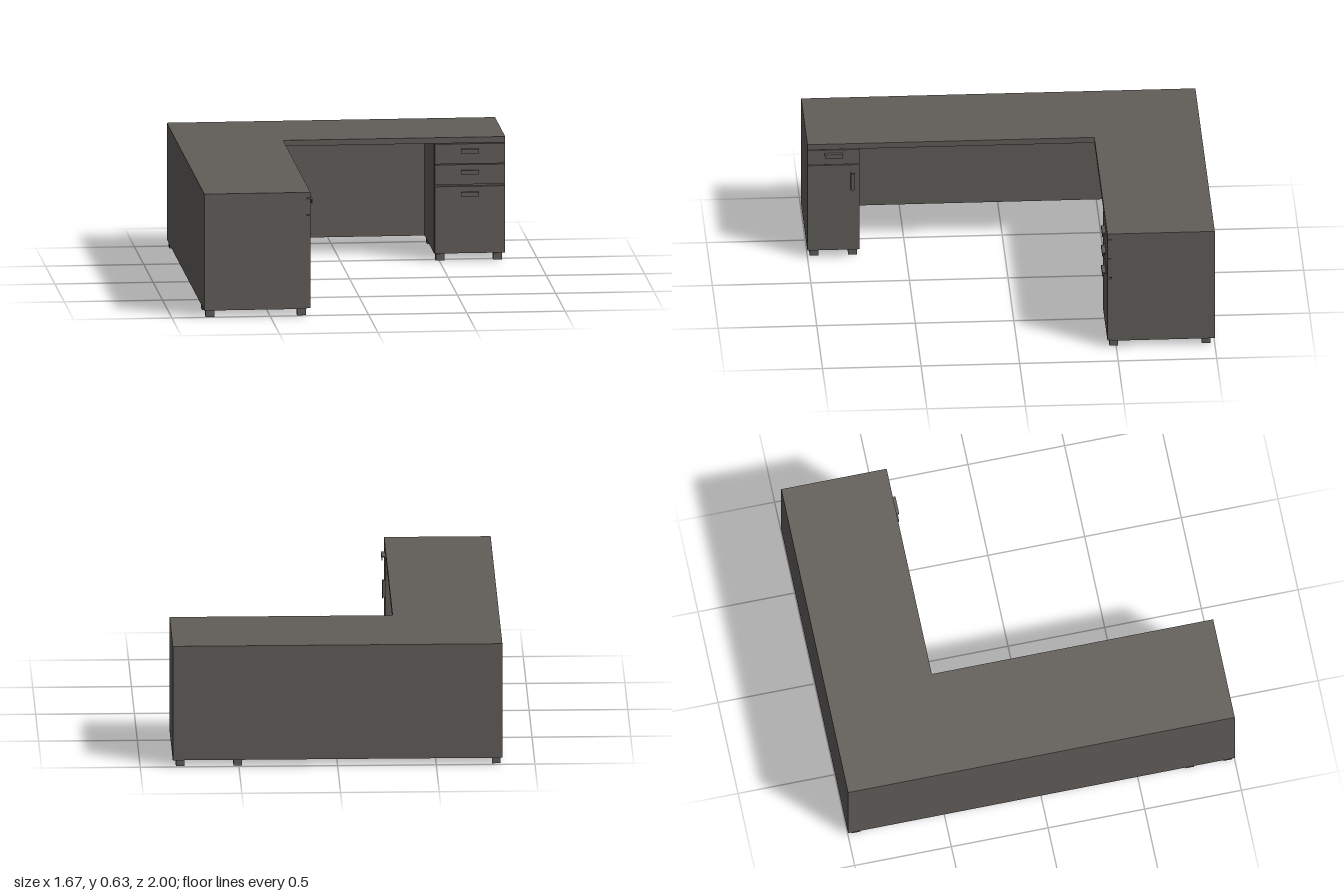
import * as THREE from 'three';

export function createModel() {
  const desk = new THREE.Group();
  desk.name = 'cornerDesk';
  const laminate = new THREE.MeshStandardMaterial({ color: 0x615d59 });
  laminate.name = 'greyLaminate';

  // Box given by its limits on each axis
  const box = (name, [x0, x1], [y0, y1], [z0, z1], parent = desk) => {
    const mesh = new THREE.Mesh(new THREE.BoxGeometry(x1 - x0, y1 - y0, z1 - z0), laminate);
    mesh.position.set((x0 + x1) / 2, (y0 + y1) / 2, (z0 + z1) / 2);
    mesh.name = name;
    parent.add(mesh);
    return mesh;
  };

  const W = 0.835, D = 1, T = 0.02;        // half width, half depth, panel thickness
  const IX = -0.295, IZ = -0.455;          // inner edges of the two wings
  const BASE = 0.035, UNDER = 0.605, TOP = 0.635;
  const body = [BASE, UNDER];

  // L-shaped worktop
  const outline = new THREE.Shape([
    [-W, D], [W, D], [W, -IZ], [IX, -IZ], [IX, -D], [-W, -D],
  ].map(([x, y]) => new THREE.Vector2(x, y)));
  const top = new THREE.Mesh(
    new THREE.ExtrudeGeometry(outline, { depth: TOP - UNDER, bevelEnabled: false }), laminate);
  top.rotation.x = -Math.PI / 2;
  top.position.y = UNDER;
  top.name = 'worktop';
  desk.add(top);

  // Outer panels along the back and the long side
  box('backPanel', [-W, W], body, [-D, -D + T]);
  box('longSidePanel', [-W, -W + T], body, [-D + T, D]);

  // Pedestal side panels, open underneath
  box('drawerPedestalOuterSide', [W - T, W], body, [-D + T, IZ - T]);
  box('drawerPedestalInnerSide', [0.475, 0.475 + T], body, [-D + T, IZ - T]);
  box('doorPedestalOuterSide', [-W + T, IX - T], body, [D - T, D]);
  box('doorPedestalInnerSide', [-W + T, IX - T], body, [0.735, 0.735 + T]);

  // Lipped pull: a shelf with a hanging lip, facing +z
  const pull = (name, length) => {
    const group = new THREE.Group();
    group.name = name;
    const h = length / 2;
    box('pullShelf', [-h, h], [0.006, 0.011], [0, 0.018], group);
    box('pullLip', [-h, h], [-0.011, 0.011], [0.013, 0.018], group);
    desk.add(group);
    return group;
  };

  // Three drawers facing the front
  [[0.498, 0.601, 0.565], [0.392, 0.494, 0.455], [0.038, 0.382, 0.343]].forEach(([y0, y1, hy], i) => {
    box('drawerFront' + (i + 1), [0.477, W], [y0, y1], [IZ - T, IZ]);
    pull('drawerPull' + (i + 1), 0.092).position.set(0.655, hy, IZ);
  });
  // Rails close the gaps between the drawers
  [0.496, 0.387].forEach((y) =>
    box('drawerRail', [0.475 + T, W - T], [y - 0.012, y + 0.012], [IZ - 2 * T, IZ - T - 0.001]));

  // Small drawer and door facing +x on the long wing
  box('smallDrawerFront', [IX - T, IX], [0.52, 0.601], [0.737, D]);
  box('cupboardDoor', [IX - T, IX], [0.04, 0.516], [0.737, D]);
  box('cupboardRail', [IX - 2 * T, IX - T - 0.001], [0.506, 0.53], [0.735 + T, D - T]);
  const smallPull = pull('smallDrawerPull', 0.092);
  smallPull.position.set(IX, 0.573, 0.867);
  smallPull.rotation.y = Math.PI / 2;
  // Door pull stands upright
  const doorPull = pull('doorPull', 0.092);
  doorPull.position.set(IX, 0.427, 0.77);
  doorPull.rotation.set(0, Math.PI / 2, Math.PI / 2);

  // Feet under both pedestals and the outer corner
  const R = 0.022;
  [
    [0.505, -0.488], [0.797, -0.488], [0.505, -0.957], [0.797, -0.957],
    [-0.805, 0.965], [-0.34, 0.965], [-0.805, 0.77], [-0.34, 0.77],
    [-0.805, -0.957],
  ].forEach(([x, z]) => box('foot', [x - R, x + R], [0, BASE], [z - R, z + R]));

  return desk;
}
